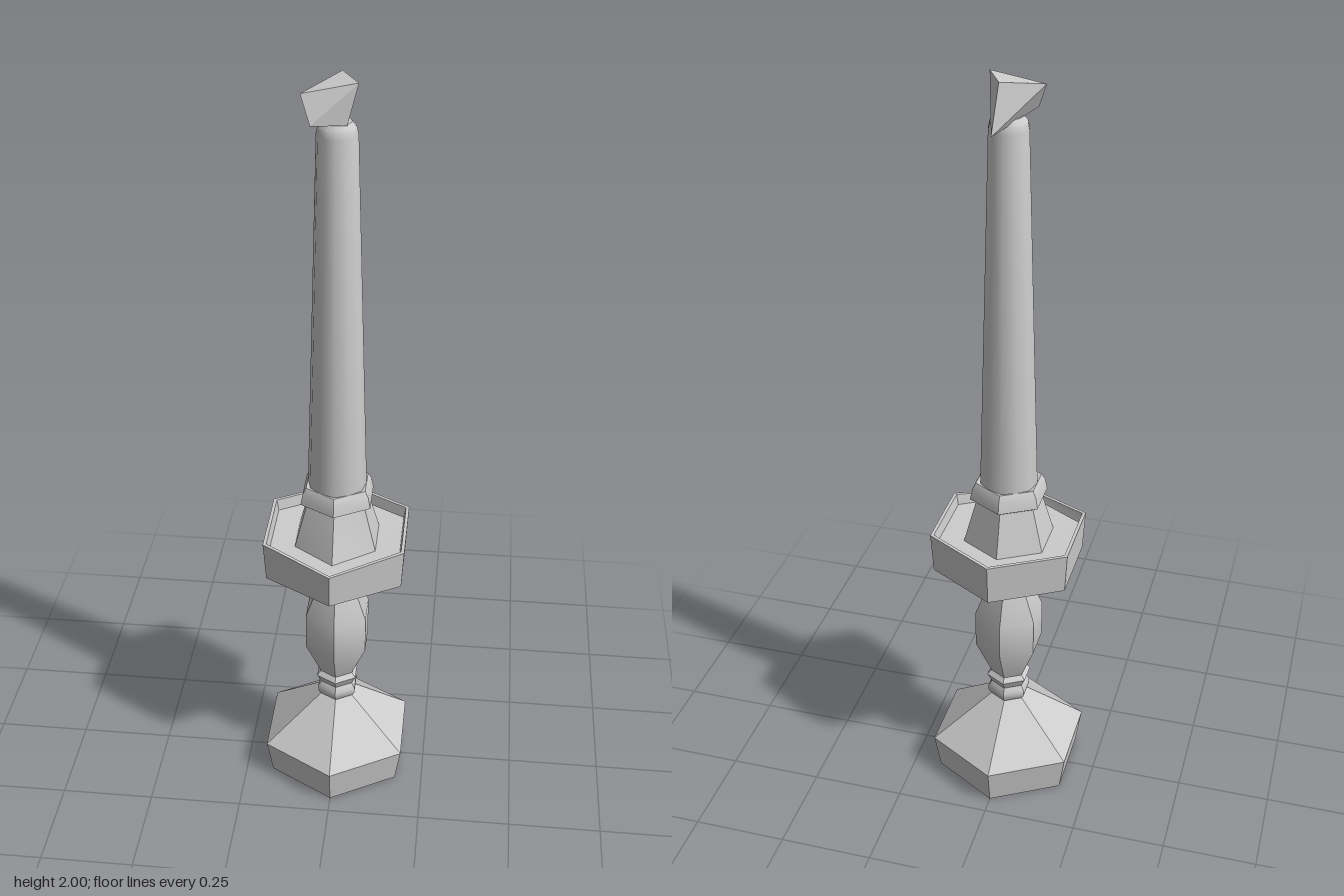
import * as THREE from 'three';
import { toCreasedNormals } from 'three/addons/utils/BufferGeometryUtils.js';
import { ConvexGeometry } from 'three/addons/geometries/ConvexGeometry.js';

const stone = new THREE.MeshStandardMaterial({ color: 0xcccccc });
stone.name = 'pale grey';

// Turned part: profile of [radius, height] from bottom to top, first corner on +z
function turned(name, sides, profile, reshape) {
  const points = profile.map(([r, y]) => new THREE.Vector2(r, y));
  const geometry = new THREE.LatheGeometry(points, sides);
  if (reshape) {
    const p = geometry.attributes.position;
    const v = new THREE.Vector3();
    for (let i = 0; i < p.count; i++) {
      reshape(v.fromBufferAttribute(p, i));
      p.setXYZ(i, v.x, v.y, v.z);
    }
  }
  const mesh = new THREE.Mesh(toCreasedNormals(geometry, 0.56), stone);
  mesh.name = name;
  return mesh;
}

export function createModel() {
  const group = new THREE.Group();
  group.name = 'candlestick';

  // Hexagonal foot
  group.add(turned('foot', 6, [[0, 0.005], [0.202, 0.005], [0.219, 0.105], [0.045, 0.24], [0, 0.24]]));

  // Stem with a double ring below, a bulb and a ring above
  group.add(turned('stem', 6, [
    [0.05, 0.235], [0.059, 0.25], [0.059, 0.265], [0.049, 0.28], [0.062, 0.305],
    [0.05, 0.318], [0.094, 0.42], [0.094, 0.525], [0.05, 0.63],
    [0.066, 0.65], [0.066, 0.662], [0.05, 0.675],
  ]));

  // Drip dish with a slightly sagging front lip
  group.add(turned('dripDish', 6, [
    [0, 0.665], [0.05, 0.665], [0.205, 0.69], [0.212, 0.8], [0.202, 0.8], [0.196, 0.77], [0, 0.765],
  ], v => { if (v.y > 0.78 && v.z > 0.15) v.y -= 0.016; }));

  // Flared socket and collar, slightly fuller at the front
  group.add(turned('socket', 6, [
    [0.122, 0.768], [0.088, 0.885], [0.104, 0.895], [0.098, 0.925], [0.088, 0.942], [0.06, 0.935],
  ], v => { if (v.y < 0.8 && v.z > 0.1) v.z += 0.015; }));

  // Tapered round candle
  group.add(turned('candle', 12, [
    [0, 0.77], [0.079, 0.77], [0.076, 0.95], [0.049, 1.875], [0.045, 1.893], [0.034, 1.906], [0, 1.908],
  ]));

  // Faceted flame
  const corners = [
    [0.015, 1.885, -0.095], [0.05, 2.0, 0.02], [-0.055, 1.912, 0.06],
    [-0.08, 1.975, 0.03], [0.005, 2.0, -0.065], [0.025, 1.905, 0.03],
  ].map(c => new THREE.Vector3(...c));
  const flame = new THREE.Mesh(new ConvexGeometry(corners), stone);
  flame.name = 'flame';
  group.add(flame);

  return group;
}
